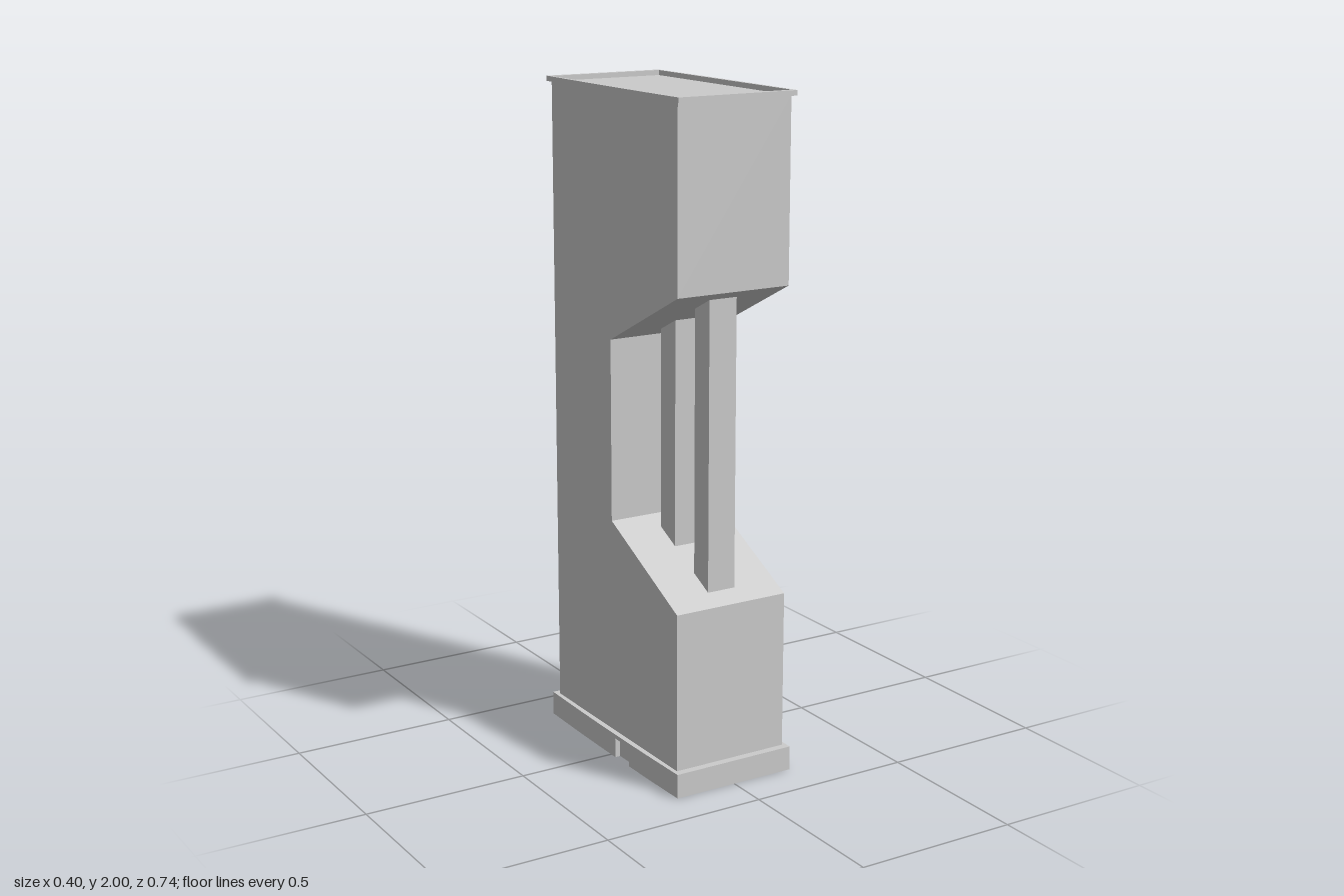
import * as THREE from 'three';

const grey = new THREE.MeshStandardMaterial({ color: 0xcccccc, side: THREE.DoubleSide, flatShading: true });

function mesh(name, geometry) {
  const m = new THREE.Mesh(geometry, grey);
  m.name = name;
  return m;
}

// Sheet of four-cornered panels; corners run counter-clockwise seen from outside
function panels(name, quads) {
  const pos = [];
  for (const [a, b, c, d] of quads) pos.push(...a, ...b, ...c, ...a, ...c, ...d);
  const g = new THREE.BufferGeometry();
  g.setAttribute('position', new THREE.Float32BufferAttribute(pos, 3));
  g.computeVertexNormals();
  return mesh(name, g);
}

// Upright panel between two plan points [x, z]
const upright = ([ax, az], [bx, bz], y0, y1) =>
  [[ax, y0, az], [bx, y0, bz], [bx, y1, bz], [ax, y1, az]];

const bodyX = 0.183, bodyZ = 0.349, baseTop = 0.073, capY = 1.985;
const notch = { z0: 0.025, z1: 0.105, top: 0.06 };

// Plan outline with gently bowed long sides, given as [x, z]
function bowedOutline(xEnd, xMid, zEnd) {
  const bow = z => xEnd + (xMid - xEnd) * (1 - (z / zEnd) ** 2);
  const zs = [zEnd, 0.24, notch.z1, notch.z0, -0.08, -0.18, -0.28, -zEnd];
  const side = zs.map(z => [bow(z), z]);
  return [...side, ...side.map(([x, z]) => [-x, z]).reverse()];
}

// Flat ring between a bowed outline and the body, lying level
function ring(outline) {
  const shape = new THREE.Shape(outline.map(([x, z]) => new THREE.Vector2(x, -z)));
  const x = bodyX, z = bodyZ;
  shape.holes.push(new THREE.Path([[-x, -z], [-x, z], [x, z], [x, -z]].map(p => new THREE.Vector2(...p))));
  return shape;
}

export function createModel() {
  const model = new THREE.Group();

  // Hollow cabinet: profile [z, y] from the front foot over the top to the back foot
  const profile = [
    [bodyZ, baseTop], [bodyZ, 0.547], [-0.016, 0.73], [-0.016, 1.275],
    [bodyZ, 1.456], [bodyZ, capY], [-bodyZ, capY], [-bodyZ, baseTop],
  ];
  const body = new THREE.Group();
  body.name = 'cabinetBody';
  const skin = [];
  for (let i = 0; i < profile.length - 1; i++) {
    const [z0, y0] = profile[i], [z1, y1] = profile[i + 1];
    skin.push([[-bodyX, y0, z0], [bodyX, y0, z0], [bodyX, y1, z1], [-bodyX, y1, z1]]);
  }
  body.add(panels('bodySkin', skin));
  const sideShape = new THREE.Shape(profile.map(([z, y]) => new THREE.Vector2(z, y)));
  for (const s of [1, -1]) {
    const g = new THREE.ShapeGeometry(sideShape);
    g.rotateY(-Math.PI / 2);
    if (s > 0) g.setIndex([...g.index.array].reverse());
    g.computeVertexNormals();
    g.translate(s * bodyX, 0, 0);
    body.add(mesh(s > 0 ? 'leftSide' : 'rightSide', g));
  }
  model.add(body);

  // Raised rim around the top
  const rim = new THREE.ExtrudeGeometry(ring(bowedOutline(0.191, 0.195, 0.366)), { depth: 2 - capY, bevelEnabled: false });
  rim.rotateX(-Math.PI / 2);
  rim.translate(0, capY, 0);
  model.add(mesh('topRim', rim));

  // Thin plinth skirt, open below, with a small niche in each long side
  const base = new THREE.Group();
  base.name = 'plinth';
  const outline = bowedOutline(0.195, 0.2, 0.372);
  const skirt = [];
  outline.forEach((a, i) => {
    const b = outline[(i + 1) % outline.length];
    const isNotch = Math.abs(a[1] + b[1] - notch.z0 - notch.z1) < 1e-6 && a[0] * b[0] > 0;
    skirt.push(upright(a, b, isNotch ? notch.top : 0, baseTop));
    if (!isNotch) return;
    const inX = Math.sign(a[0]) * bodyX;
    const c = [inX, a[1]], d = [inX, b[1]], t = notch.top;
    skirt.push(upright(a, c, 0, t), upright(c, d, 0, t), upright(d, b, 0, t));
    skirt.push([a, b, d, c].map(([x, z]) => [x, t, z]));
  });
  base.add(panels('plinthSkirt', skirt));
  const ledge = new THREE.ShapeGeometry(ring(outline));
  ledge.rotateX(-Math.PI / 2);
  ledge.translate(0, baseTop, 0);
  base.add(mesh('plinthLedge', ledge));
  model.add(base);

  // Two upright bars whose ends follow the sloped opening
  const low = z => 0.73 - (z + 0.016) * 0.5014;
  const high = z => 1.275 + (z + 0.016) * 0.4959;
  for (const [name, z0, z1] of [['frontBar', 0.22, 0.295], ['rearBar', 0.037, 0.115]]) {
    const shape = new THREE.Shape([[z0, low(z0)], [z1, low(z1)], [z1, high(z1)], [z0, high(z0)]]
      .map(p => new THREE.Vector2(...p)));
    const g = new THREE.ExtrudeGeometry(shape, { depth: 0.09, bevelEnabled: false });
    g.rotateY(-Math.PI / 2);
    g.translate(0.045, 0, 0);
    model.add(mesh(name, g));
  }
  return model;
}
